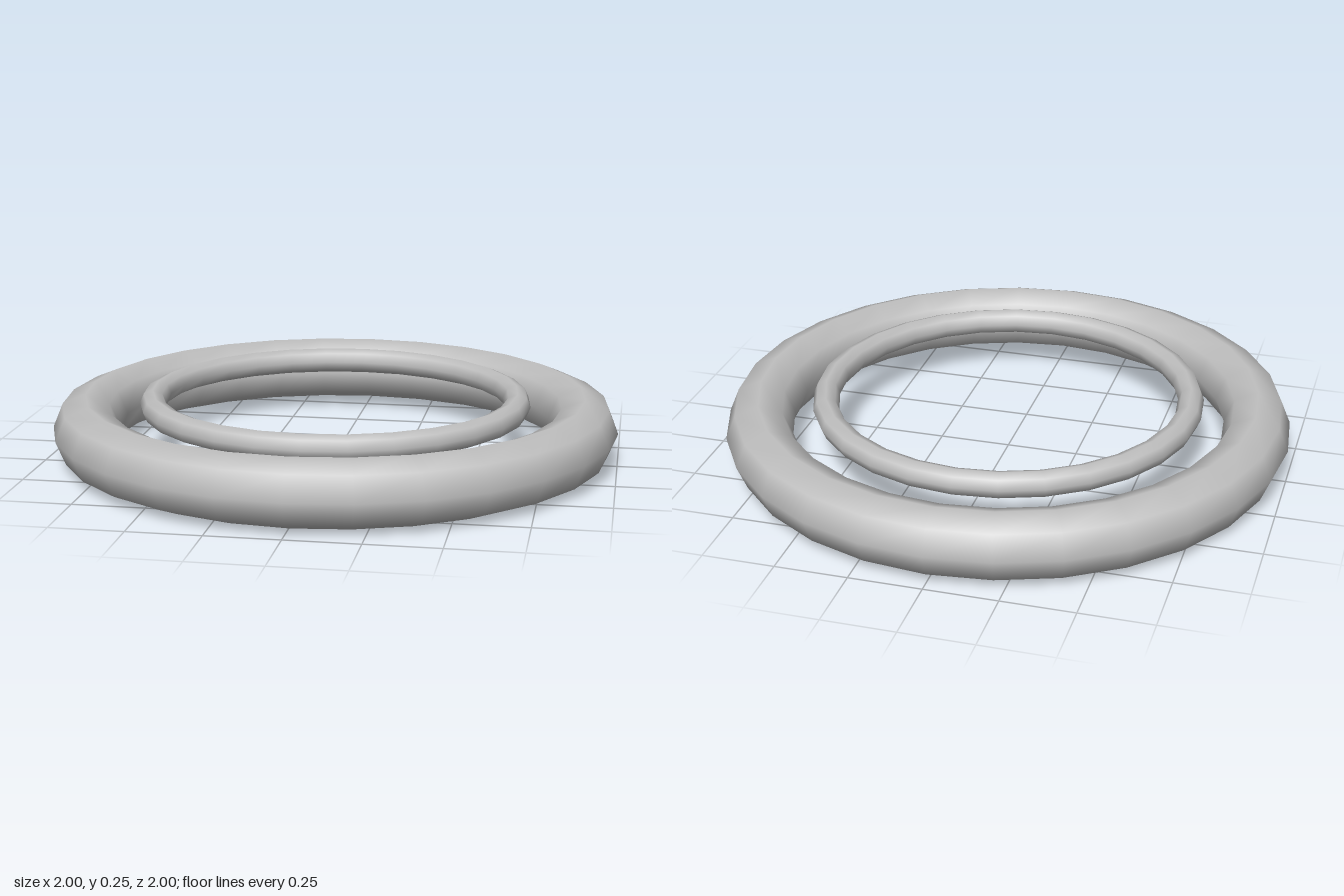
import * as THREE from 'three';

export function createModel() {
  const model = new THREE.Group();
  model.name = 'concentricRings';
  const grey = new THREE.MeshStandardMaterial({ color: 0xc0c0c0 });
  grey.name = 'light grey';

  // A ring lying flat, centred at height y
  function addRing(name, radius, tube, y) {
    const geometry = new THREE.TorusGeometry(radius, tube, 8, 28);
    geometry.rotateX(-Math.PI / 2);
    const ring = new THREE.Mesh(geometry, grey);
    ring.name = name;
    ring.position.y = y;
    model.add(ring);
  }

  // Thick outer ring standing on the ground
  addRing('outerRing', 0.883, 0.117, 0.117);
  // Thin inner ring, raised slightly above the outer one's centre
  addRing('innerRing', 0.647, 0.046, 0.199);

  return model;
}
